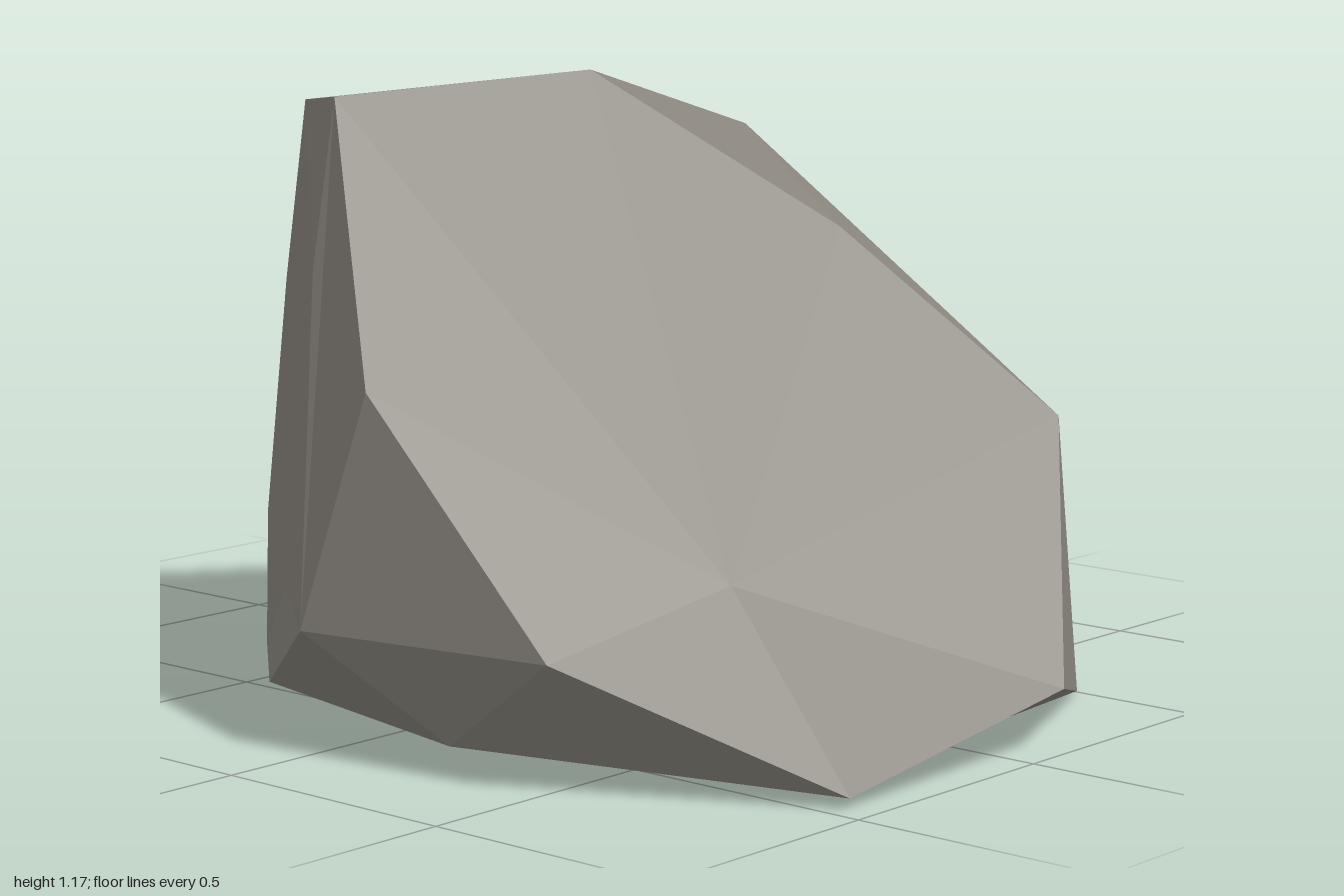
import * as THREE from 'three';

// Corners of the chipped boulder, one letter each
const corners = {
  // crest
  A: [-0.28, 1.14, 0.46], B: [-0.11, 1.17, -0.06], P: [-0.63, 1.10, 0.20],
  Y: [-0.47, 0.99, -0.19], Q: [-0.08, 1.04, -0.49],
  // rim of the large sloping face, and the dent above its toe
  C: [0.30, 0.875, -0.32], D: [0.71, 0.535, -0.47], E: [1.00, 0.12, -0.09],
  F: [0.95, 0.02, 0.46], G: [0.54, 0.24, 0.77], H: [0.10, 0.66, 0.76],
  a: [0.61, 0.325, 0.37],
  // sides
  I: [0.00, 0.23, 0.83], N: [-1.00, 0.20, -0.03], O: [-0.86, 0.71, 0.04],
  R: [0.20, 0.68, -0.69], S: [-0.02, 0.21, -0.835], T: [0.43, 0.24, -0.76],
  // dents in the back and front faces
  b: [-0.15, 0.66, -0.57], c: [-0.67, 0.405, -0.23], d: [-0.388, 0.12, -0.617],
  f: [-0.40, 0.20, 0.487], h: [-0.22, 0.83, 0.578],
};
const baseCorners = {
  J: [0.28, 0.05, 0.74], K: [-0.36, 0.035, 0.57], L: [-0.73, 0.0, 0.23],
  M: [-0.90, 0.035, -0.06], X: [-0.76, 0.02, -0.35], W: [-0.37, 0.03, -0.71],
  V: [0.18, 0.03, -0.70], U: [0.75, 0.005, -0.49], e: [0.87, 0.04, -0.01],
  g: [-0.05, 0.075, 0.445],
};

// Flat facets as corner loops, each fanned from its first corner
const facets = [
  'aEDCBAHG', 'aGF', 'aFE',                       // sloping face and its toe
  'BCQ', 'BQY', 'BYPA', 'YOP',                    // crest
  'cNOYQbSd', 'cXN', 'cdWX', 'dSW', 'QRb', 'bRS', // back face and its foot
  'QCDR', 'DTR', 'RTS', 'DUT', 'DEU', 'TUVS', 'SVW', // back left
  'EFe', 'EeU',                                   // left foot
  'AIH', 'HIG', 'IJG', 'GJF', 'IKJ',              // front corner
  'fIhPONL', 'APh', 'AhI', 'fLK', 'fKI', 'NML', 'NXM', // front right face
  'gJKLMXWVUeFJ',                                 // underside
];

function facetedGeometry(points, loops) {
  const positions = [];
  for (const loop of loops) {
    for (let i = 1; i < loop.length - 1; i++) {
      for (const key of [loop[0], loop[i], loop[i + 1]]) positions.push(...points[key]);
    }
  }
  const geometry = new THREE.BufferGeometry();
  geometry.setAttribute('position', new THREE.Float32BufferAttribute(positions, 3));
  geometry.computeVertexNormals();
  return geometry;
}

export function createModel() {
  const group = new THREE.Group();
  group.name = 'rock';

  const stone = new THREE.MeshStandardMaterial({ color: 0x88847c });
  stone.name = 'warm grey stone';
  stone.flatShading = true;

  const boulder = new THREE.Mesh(facetedGeometry({ ...corners, ...baseCorners }, facets), stone);
  boulder.name = 'boulder';
  group.add(boulder);
  return group;
}
